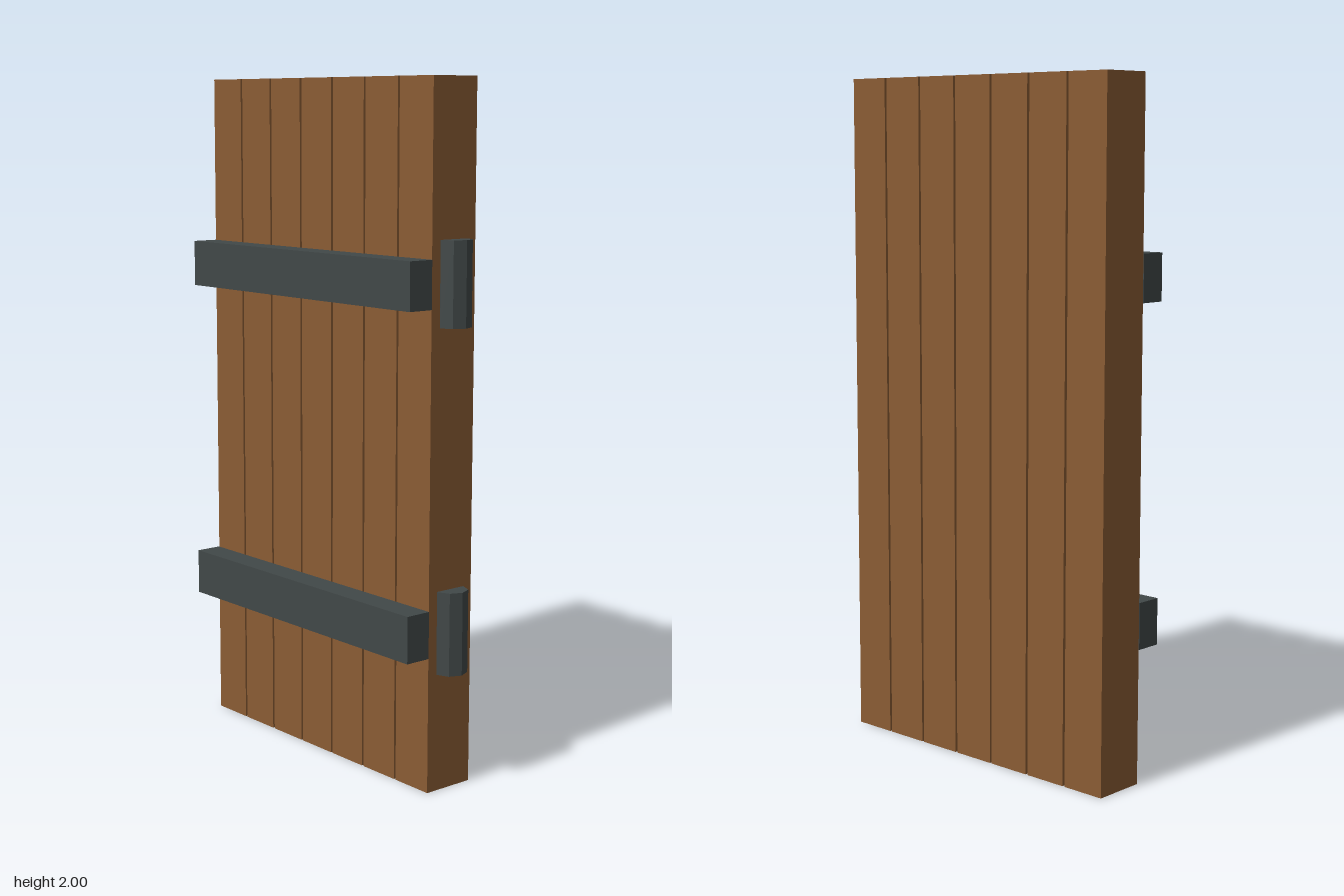
import * as THREE from 'three';

export function createModel() {
  const model = new THREE.Group();
  model.name = 'plankDoor';
  const wood = new THREE.MeshStandardMaterial({ color: 0x8a5c34, flatShading: true });
  wood.name = 'brownWood';
  const iron = new THREE.MeshStandardMaterial({ color: 0x414848, flatShading: true });
  iron.name = 'darkIron';

  const add = (name, geometry, material, x, y, z) => {
    const mesh = new THREE.Mesh(geometry, material);
    mesh.name = name;
    mesh.position.set(x, y, z);
    model.add(mesh);
  };

  // Seven upright planks with narrow open gaps
  const plank = new THREE.BoxGeometry(0.135, 2, 0.16);
  for (let i = 0; i < 7; i++) {
    add(`plank${i + 1}`, plank, wood, -0.4545 + i * 0.1427, 1, -0.04);
  }

  // Two straps across the front, each with an eight-sided hinge on the left edge
  const strap = new THREE.BoxGeometry(0.994, 0.136, 0.08);
  const hinge = new THREE.CylinderGeometry(0.05, 0.05, 0.24, 8);
  for (const [name, y] of [['lower', 0.463], ['upper', 1.443]]) {
    add(`${name}Strap`, strap, iron, -0.027, y, 0.08);
    add(`${name}Hinge`, hinge, iron, 0.471, y, -0.04);
  }
  return model;
}
